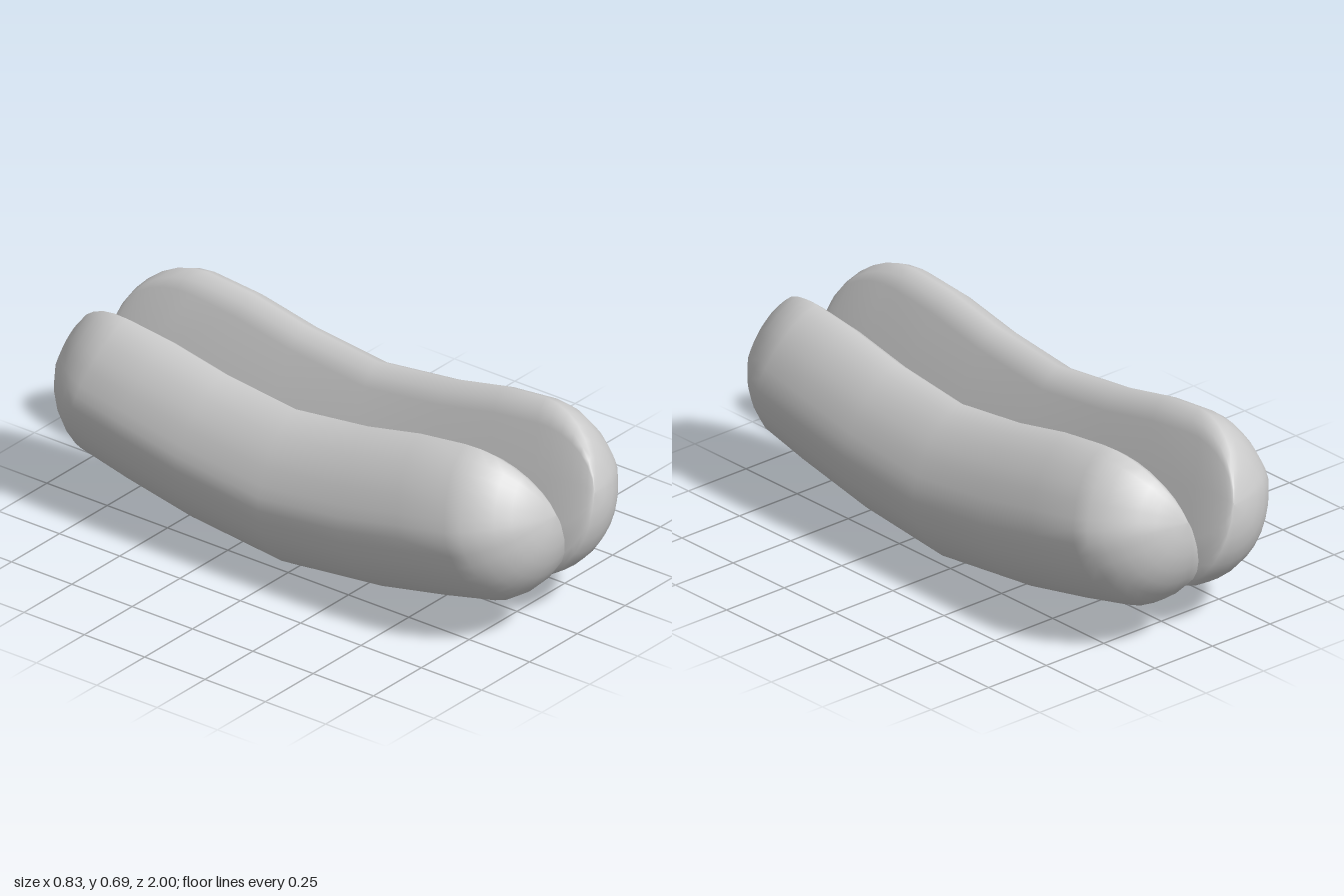
import * as THREE from 'three';

const MID = 0.295;   // height of the section's middle
const TIP = 0.1;     // x toward which the rounded ends close

// Half-bun cross-section, anticlockwise from the lower inner edge
const HALF = [
  [0.005, 0.02], [0.06, 0.004], [0.12, 0], [0.18, 0.008], [0.235, 0.028], [0.285, 0.058],
  [0.33, 0.1], [0.365, 0.15], [0.39, 0.2], [0.404, 0.25], [0.414, 0.295], [0.408, 0.34],
  [0.395, 0.378], [0.372, 0.435], [0.343, 0.48], [0.308, 0.525], [0.264, 0.56], [0.213, 0.585],
  [0.174, 0.556], [0.146, 0.518], [0.083, 0.345], [0.021, 0.175], [0.01, 0.118], [0.005, 0.06],
];
// Thin strip joining the halves
const STRIP = [[-0.012, 0.06], [0.012, 0.06], [0.012, 0.09], [-0.012, 0.09]];

// Stations along the upward-bent loaf: z, lift, tilt in degrees, scale, bulge
const BODY = [
  { z: 0, lift: 0, tilt: 0, s: 1, bulge: 0 },
  { z: 0.34, lift: 0.038, tilt: 8, s: 1, bulge: 0 },
  { z: 0.585, lift: 0.088, tilt: 13, s: 1, bulge: 0 },
  { z: 0.775, lift: 0.12, tilt: 15, s: 0.965, bulge: 0 },
];
// Round end: a circular cap leaving the last body station
const END = BODY[3], CAP_R = 0.28, CAP_START = 0.197;
const DOME = [];
for (let i = 1; i <= 7; i++) {
  const a = THREE.MathUtils.lerp(CAP_START, Math.PI / 2, i / 7);
  DOME.push({
    ...END,
    s: END.s * Math.cos(a) / Math.cos(CAP_START),
    bulge: CAP_R * (Math.sin(a) - Math.sin(CAP_START)),
  });
}

// Sweep a closed section from the back end to the front end; side = -1 mirrors it
function sweep(section, stations, side = 1) {
  const rings = [
    ...stations.slice(1).reverse().map((r) => ({ ...r, dir: -1 })),
    ...stations.map((r) => ({ ...r, dir: 1 })),
  ];
  const pos = [], idx = [], n = section.length;
  for (const { z, lift, tilt, s, bulge, dir } of rings) {
    const t = THREE.MathUtils.degToRad(tilt);
    for (const [x, y] of section) {
      const v = (y - MID) * s;
      pos.push(
        side * (TIP + (x - TIP) * s),
        MID + lift + v * Math.cos(t) + bulge * Math.sin(t),
        dir * (z - v * Math.sin(t) + bulge * Math.cos(t)),
      );
    }
  }
  for (let i = 0; i < rings.length - 1; i++) {
    for (let j = 0; j < n; j++) {
      const a = i * n + j, b = i * n + (j + 1) % n, c = a + n, d = b + n;
      if (side > 0) idx.push(a, b, c, b, d, c);
      else idx.push(a, c, b, b, c, d);
    }
  }
  const g = new THREE.BufferGeometry();
  g.setAttribute('position', new THREE.Float32BufferAttribute(pos, 3));
  g.setIndex(idx);
  g.computeVertexNormals();
  return g;
}

export function createModel() {
  const group = new THREE.Group();
  group.name = 'slicedBun';
  const bread = new THREE.MeshStandardMaterial({ color: 0xcccccc });
  const flat = new THREE.MeshStandardMaterial({ color: 0xcccccc, side: THREE.DoubleSide, flatShading: true });

  // Two mirrored halves of the bun
  for (const [name, side] of [['leftHalf', 1], ['rightHalf', -1]]) {
    const half = new THREE.Mesh(sweep(HALF, [...BODY, ...DOME], side), bread);
    half.name = name;
    group.add(half);
  }

  // Hinge strip between them, following the same bend
  const hinge = new THREE.Mesh(sweep(STRIP, BODY.map((r) => ({ ...r, s: 1 }))), flat);
  hinge.name = 'hingeStrip';
  group.add(hinge);

  return group;
}
